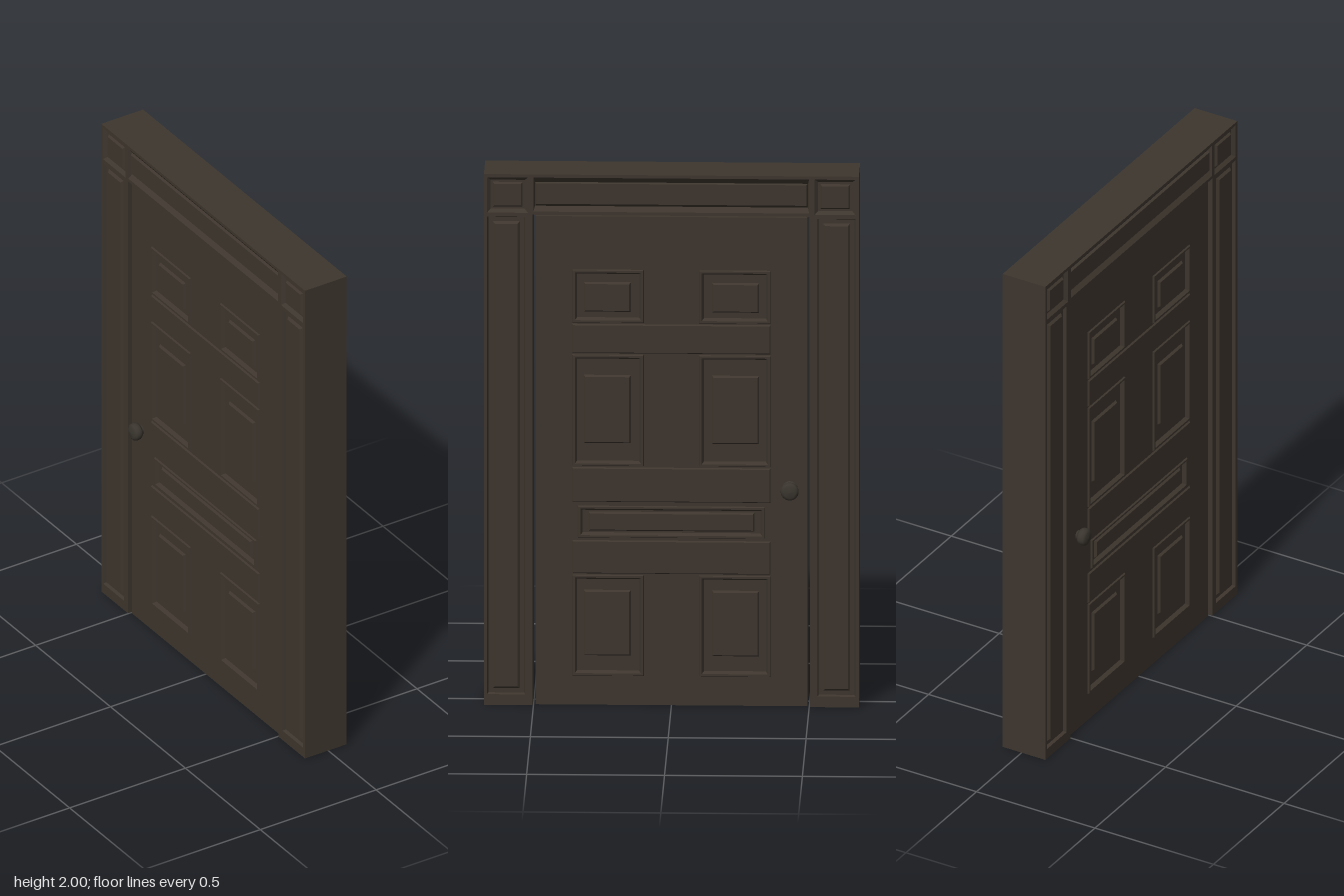
import * as THREE from 'three';

const wood = new THREE.MeshStandardMaterial({ color: 0x3e362e, side: THREE.DoubleSide });
wood.name = 'dark wood';
const metal = new THREE.MeshStandardMaterial({ color: 0x3a352e });
metal.name = 'dark metal';

const FRONT = 0.08, BACK = 0.10;      // frame faces, distance from x = 0
const RECESS = 0.012;                 // door sits slightly behind the frame
const HALF = 0.68, OPEN = 0.503, HEAD = 1.848;

function add(parent, geometry, material, name) {
  const mesh = new THREE.Mesh(geometry, material);
  mesh.name = name;
  parent.add(mesh);
  return mesh;
}

// Box keeping only the listed faces (0 +x, 1 -x, 2 +y, 3 -y, 4 +z, 5 -z)
function shell(w, h, d, faces) {
  const g = new THREE.BoxGeometry(w, h, d);
  const all = Array.from(g.index.array);
  g.setIndex(faces.flatMap(f => all.slice(f * 6, f * 6 + 6)));
  g.clearGroups();
  return g;
}

// Stepped moulding: nested rectangles [x0, x1, y0, y1, z] joined by bevels, last one capped
function relief(steps) {
  const loops = steps.map(([x0, x1, y0, y1, z]) =>
    [[x0, y0, z], [x1, y0, z], [x1, y1, z], [x0, y1, z]]);
  const pos = [];
  const quad = (a, b, c, d) => pos.push(...a, ...b, ...c, ...a, ...c, ...d);
  for (let k = 0; k + 1 < loops.length; k++) {
    for (let i = 0; i < 4; i++) {
      const j = (i + 1) % 4;
      quad(loops[k][i], loops[k][j], loops[k + 1][j], loops[k + 1][i]);
    }
  }
  quad(...loops[loops.length - 1]);
  const g = new THREE.BufferGeometry();
  g.setAttribute('position', new THREE.Float32BufferAttribute(pos, 3));
  g.computeVertexNormals();
  return g;
}

// Rectangle shrunk by m on all sides at depth z
const inset = ([x0, x1, y0, y1], m, z) => [x0 + m, x1 - m, y0 + m, y1 - m, z];

// Door panels: [outer rectangle, inner raised field]
const panels = [];
for (const [y0, y1, f0, f1] of [[1.44, 1.64, 1.485, 1.585], [0.90, 1.32, 0.99, 1.235], [0.11, 0.49, 0.19, 0.425]]) {
  panels.push([[-0.36, -0.10, y0, y1], [-0.312, -0.153, f0, f1]]);
  panels.push([[0.10, 0.36, y0, y1], [0.153, 0.312, f0, f1]]);
}
panels.push([[-0.34, 0.34, 0.63, 0.75], [-0.295, 0.295, 0.66, 0.72]]);
const rails = [[1.325, 1.435], [0.765, 0.895], [0.495, 0.62]];

// One decorated side, built facing +z with its frame face at z = 0
function buildSide() {
  const side = new THREE.Group();

  for (const s of [-1, 1]) {
    const span = (a, b) => (s > 0 ? [a, b] : [-b, -a]);
    const post = [...span(0.53, 0.668), 0.04, 1.84];
    add(side, relief([
      [...span(OPEN, HALF), 0, HEAD, 0], [...post, 0], inset(post, 0.004, -0.012),
      inset(post, 0.02, -0.012), inset(post, 0.028, -0.003),
    ]), wood, 'jambPanel');
    const block = [...span(0.52, 0.668), 1.855, 1.988];
    add(side, relief([
      [...span(OPEN, HALF), HEAD, 2, 0], [...block, 0], inset(block, 0.012, -0.012),
      inset(block, 0.02, -0.012), inset(block, 0.026, -0.004),
    ]), wood, 'cornerBlock');
  }
  const lintel = [-0.515, 0.515, 1.858, 1.988];
  add(side, relief([
    [-OPEN, OPEN, HEAD, 2, 0], [-0.5, 0.5, 1.86, 1.988, 0], inset(lintel, 0.02, -0.015),
    [-0.49, 0.49, 1.888, 1.965, -0.004],
  ]), wood, 'lintelPanel');

  // Door face with panel openings
  const door = new THREE.Group();
  door.name = 'doorFace';
  door.position.z = -RECESS;
  side.add(door);
  const rectPath = (target, [x0, x1, y0, y1]) =>
    target.moveTo(x0, y0).lineTo(x1, y0).lineTo(x1, y1).lineTo(x0, y1).closePath();
  const face = rectPath(new THREE.Shape(), [-0.493, 0.493, 0, 1.84]);
  face.holes = panels.map(([r]) => rectPath(new THREE.Path(), r));
  add(door, new THREE.ShapeGeometry(face), wood, 'doorSurface');

  for (const [r, f] of panels) {
    add(door, relief([
      [...r, 0], inset(r, 0.003, 0.006), inset(r, 0.010, 0.006), inset(r, 0.018, -0.008),
      inset(f, -0.006, -0.008), [...f, 0.001],
    ]), wood, 'doorPanel');
  }
  for (const [y0, y1] of rails) {
    const r = [-0.36, 0.36, y0, y1];
    add(door, relief([[...r, 0], inset(r, 0.004, 0.006)]), wood, 'doorRail');
  }
  return side;
}

// Round knob on a stem, tip at z = 0
function buildKnob() {
  const profile = [[0.028, -0.07], [0.028, -0.058], [0.018, -0.054], [0.018, -0.038], [0.027, -0.036],
    [0.032, -0.028], [0.033, -0.018], [0.030, -0.008], [0.021, -0.002], [0, 0]];
  const g = new THREE.LatheGeometry(profile.map(p => new THREE.Vector2(...p)), 24);
  g.rotateX(Math.PI / 2);
  return g;
}

export function createModel() {
  const model = new THREE.Group();
  model.name = 'door';
  const depth = FRONT + BACK, midX = (FRONT - BACK) / 2;

  // Hollow frame: jambs open underneath, lintel between them
  const jambW = HALF - OPEN;
  for (const s of [-1, 1]) {
    add(model, shell(depth, 2, jambW, [2, 4, 5]), wood, 'jamb')
      .position.set(midX, 1, s * (OPEN + jambW / 2));
  }
  add(model, shell(depth, 2 - HEAD, OPEN * 2, [2, 3]), wood, 'lintel')
    .position.set(midX, (2 + HEAD) / 2, 0);

  // Edges of the door leaf
  add(model, shell(depth - RECESS * 2, 1.84, 0.986, [2, 3, 4, 5]), wood, 'doorLeaf')
    .position.set(midX, 0.92, 0);

  // Both decorated sides with their knobs
  for (const [s, offset, tip] of [[1, FRONT, 0.13], [-1, BACK, 0.135]]) {
    const side = buildSide();
    side.name = s > 0 ? 'leftSide' : 'rightSide';
    side.rotation.y = s * Math.PI / 2;
    side.position.x = s * offset;
    model.add(side);
    const knob = add(model, buildKnob(), metal, 'knob');
    knob.rotation.y = s * Math.PI / 2;
    knob.position.set(s * tip, 0.82, -0.43);
  }
  return model;
}
